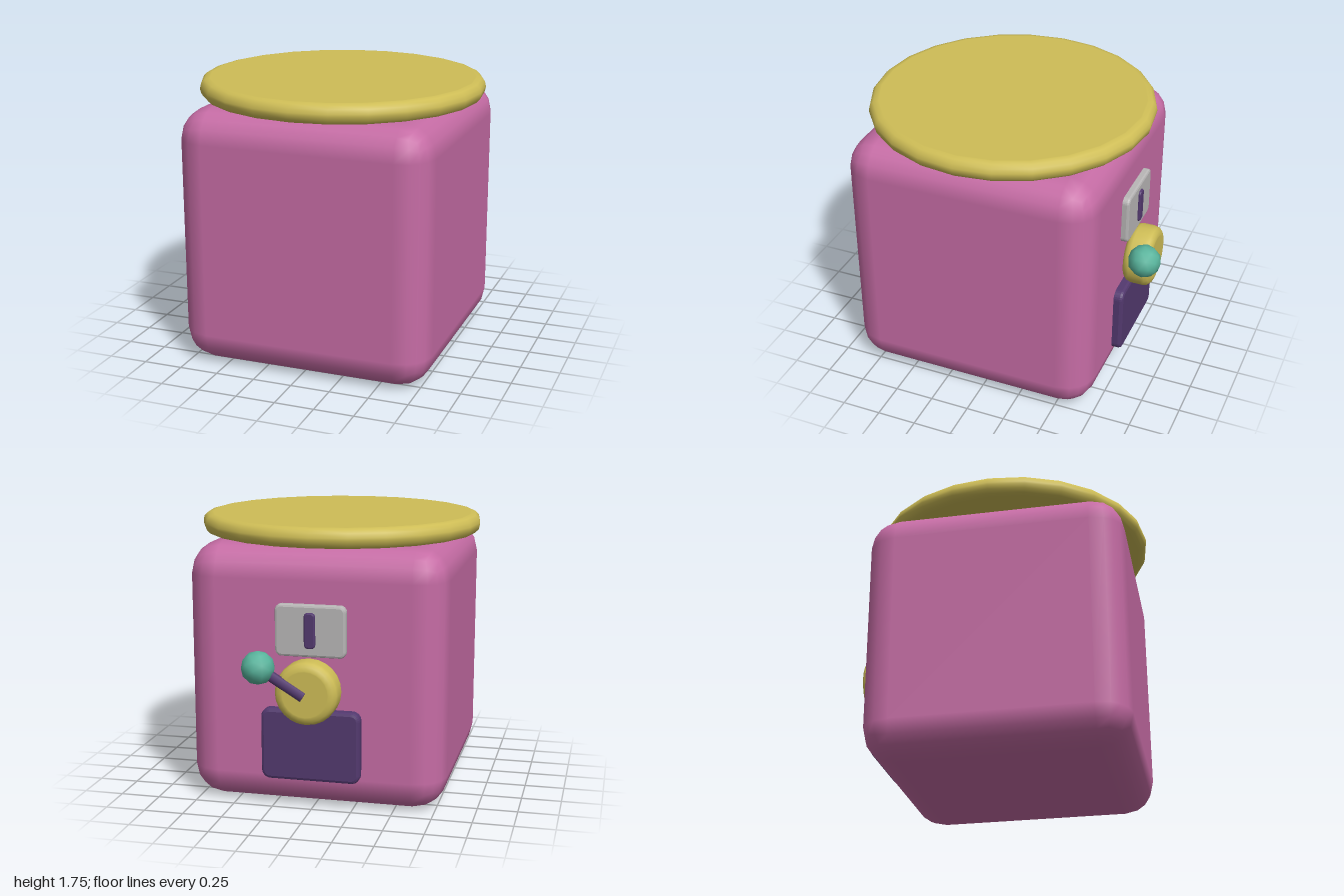
import * as THREE from 'three';
import { RoundedBoxGeometry } from 'three/addons/geometries/RoundedBoxGeometry.js';

const mat = (name, color) => {
  const m = new THREE.MeshStandardMaterial({ color });
  m.name = name;
  return m;
};

// Disc with a rounded rim, standing on y = 0
function roundedDisc(radius, height, round, sides) {
  const pts = [new THREE.Vector2(0, 0), new THREE.Vector2(radius - round * 1.15, 0)];
  for (const [cy, from] of [[round, -90], [height - round, 0]]) {
    for (let i = 0; i <= 3; i++) {
      const a = THREE.MathUtils.degToRad(from + i * 30);
      const p = new THREE.Vector2(radius - round + Math.cos(a) * round, cy + Math.sin(a) * round);
      if (p.distanceTo(pts[pts.length - 1]) > 1e-4) pts.push(p);
    }
  }
  pts.push(new THREE.Vector2(radius - round * 1.15, height), new THREE.Vector2(0, height));
  return new THREE.LatheGeometry(pts, sides);
}

// Plate with rounded corners and a soft edge, facing -z from z = 0
function roundedPlate(w, h, depth, r, bevel) {
  const x = w / 2 - bevel, y = h / 2 - bevel;
  const s = new THREE.Shape();
  s.absarc(x - r, y - r, r, 0, Math.PI / 2);
  s.absarc(-x + r, y - r, r, Math.PI / 2, Math.PI);
  s.absarc(-x + r, -y + r, r, Math.PI, Math.PI * 1.5);
  s.absarc(x - r, -y + r, r, Math.PI * 1.5, Math.PI * 2);
  s.closePath();
  const g = new THREE.ExtrudeGeometry(s, {
    depth: depth - bevel, bevelThickness: bevel, bevelSize: bevel, bevelSegments: 2, curveSegments: 3,
  });
  return g.rotateY(Math.PI);
}

export function createModel() {
  const group = new THREE.Group();
  const pink = mat('pink', 0xc66ca5);
  const yellow = mat('yellow', 0xcebd56);
  const purple = mat('purple', 0x53396f);
  const teal = mat('teal', 0x58b49c);
  const grey = mat('grey', 0xb8b6b6);

  const add = (name, geometry, material, x, y, z) => {
    const m = new THREE.Mesh(geometry, material);
    m.name = name;
    m.position.set(x, y, z);
    group.add(m);
    return m;
  };
  const midZ = 0.095, back = -0.72;

  // Block body and round lid
  add('body', new RoundedBoxGeometry(1.62, 1.63, 1.63, 2, 0.2), pink, 0, 0.815, midZ);
  add('lid', roundedDisc(0.9, 0.125, 0.055, 24), yellow, 0, 1.63, midZ);

  // Coin plate with its slot, and the chute door below
  add('coinPlate', roundedPlate(0.44, 0.32, 0.045, 0.025, 0.015), grey, 0, 1.13, back);
  add('coinSlot', roundedPlate(0.07, 0.22, 0.06, 0.015, 0.01), purple, 0, 1.135, back);
  add('chuteDoor', roundedPlate(0.62, 0.45, 0.06, 0.035, 0.02), purple, 0, 0.415, back);

  // Round knob with a crank and ball handle
  add('knob', roundedDisc(0.197, 0.175, 0.05, 24), yellow, 0, 0.77, back).rotation.x = -Math.PI / 2;
  const from = new THREE.Vector3(0.01, 0.757, -0.893), to = new THREE.Vector3(0.285, 0.925, -0.9);
  const dir = to.clone().sub(from);
  const mid = from.clone().add(to).multiplyScalar(0.5);
  const crank = add('crank', new THREE.CylinderGeometry(0.033, 0.033, dir.length(), 6), purple, mid.x, mid.y, mid.z);
  crank.quaternion.setFromUnitVectors(new THREE.Vector3(0, 1, 0), dir.normalize());
  add('handleBall', new THREE.IcosahedronGeometry(0.104, 1), teal, to.x, to.y, to.z);

  return group;
}
